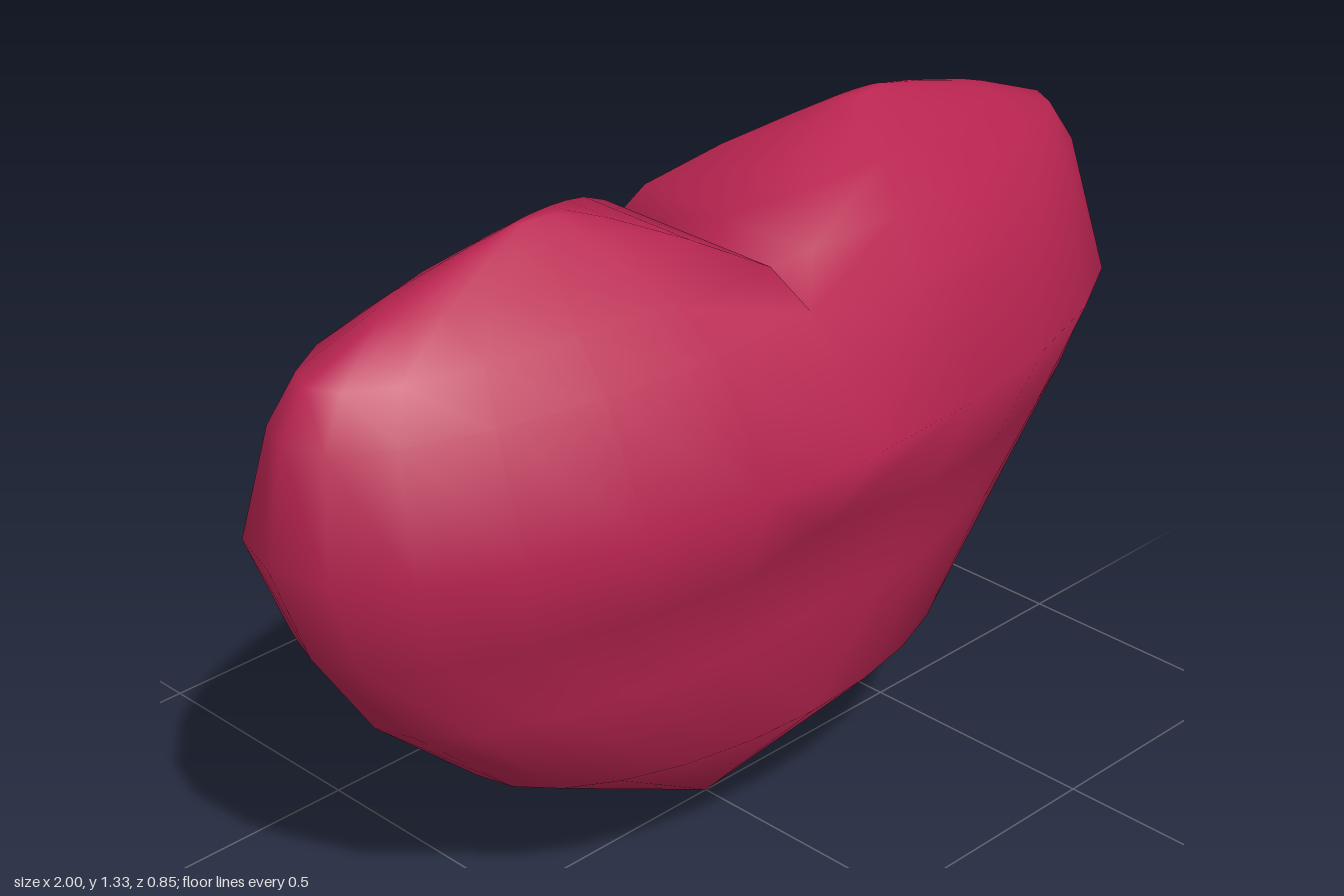
import * as THREE from 'three';
import { mergeVertices } from 'three/addons/utils/BufferGeometryUtils.js';

// Rings of one half, bottom to top: y, inner x, outer x, half depth, centre depth
const RINGS = [
  [0.0, 0, 0, 0, 0],
  [0.3, 0, 0.575, 0.275, 0.275],
  [0.5, 0, 0.8, 0.275, 0.26],
  [0.69, 0, 0.925, 0.34, 0.295],
  [0.89, 0, 1.0, 0.425, 0.425],
  [1.1, 0, 0.96, 0.285, 0.255],
  [1.185, 0.05, 0.905, 0.215, 0.205],
  [1.25, 0.17, 0.74, 0.13, 0.13],
  [1.3, 0.28, 0.56, 0.055, 0.055],
  [1.325, 0.35, 0.45, 0.015, 0.015],
];
const STEPS = 12; // steps around the outer side, front to back
const CLEFT = 5; // ring where the two lobes part

// D-shaped ring: a half ellipse outside and a straight line inside
function ringPoints([y, inner, outer, depth, centre], level) {
  const points = [];
  for (let k = 0; k <= STEPS; k++) {
    const a = Math.PI / 2 - (k / STEPS) * Math.PI;
    const z = k % STEPS === 0 ? Math.sign(Math.sin(a)) * centre : depth * Math.sin(a);
    points.push([inner + (outer - inner) * Math.abs(Math.cos(a)), y, z]);
  }
  // midpoint of the inner line, sunk a little at the cleft
  points.push([inner, level === CLEFT ? y - 0.05 : y, 0]);
  return points;
}

function heartGeometry() {
  const rings = RINGS.map(ringPoints);
  const count = STEPS + 2;
  const position = [];
  const triangle = (side, a, b, c) => {
    for (const p of side > 0 ? [a, b, c] : [a, c, b]) position.push(side * p[0], p[1], p[2]);
  };
  for (const side of [1, -1]) {
    for (let j = 0; j < rings.length - 1; j++) {
      const low = rings[j], high = rings[j + 1];
      // below the cleft only the outer side has a surface
      const last = j < CLEFT ? STEPS : count;
      for (let k = 0; k < last; k++) {
        const n = (k + 1) % count;
        if (j > 0) triangle(side, low[k], low[n], high[n]);
        triangle(side, low[k], high[n], high[k]);
      }
    }
    // cap on the lobe
    const top = rings[rings.length - 1];
    for (let k = 0; k < count; k++) triangle(side, top[k], top[(k + 1) % count], [0.4, 1.326, 0]);
  }
  const geometry = new THREE.BufferGeometry();
  geometry.setAttribute('position', new THREE.Float32BufferAttribute(position, 3));
  const merged = mergeVertices(geometry, 1e-4);
  merged.computeVertexNormals();
  return merged;
}

export function createModel() {
  const group = new THREE.Group();
  group.name = 'heart';
  const body = new THREE.Mesh(heartGeometry(), new THREE.MeshStandardMaterial({ color: 0xb82450 }));
  body.name = 'heartBody';
  group.add(body);
  return group;
}
